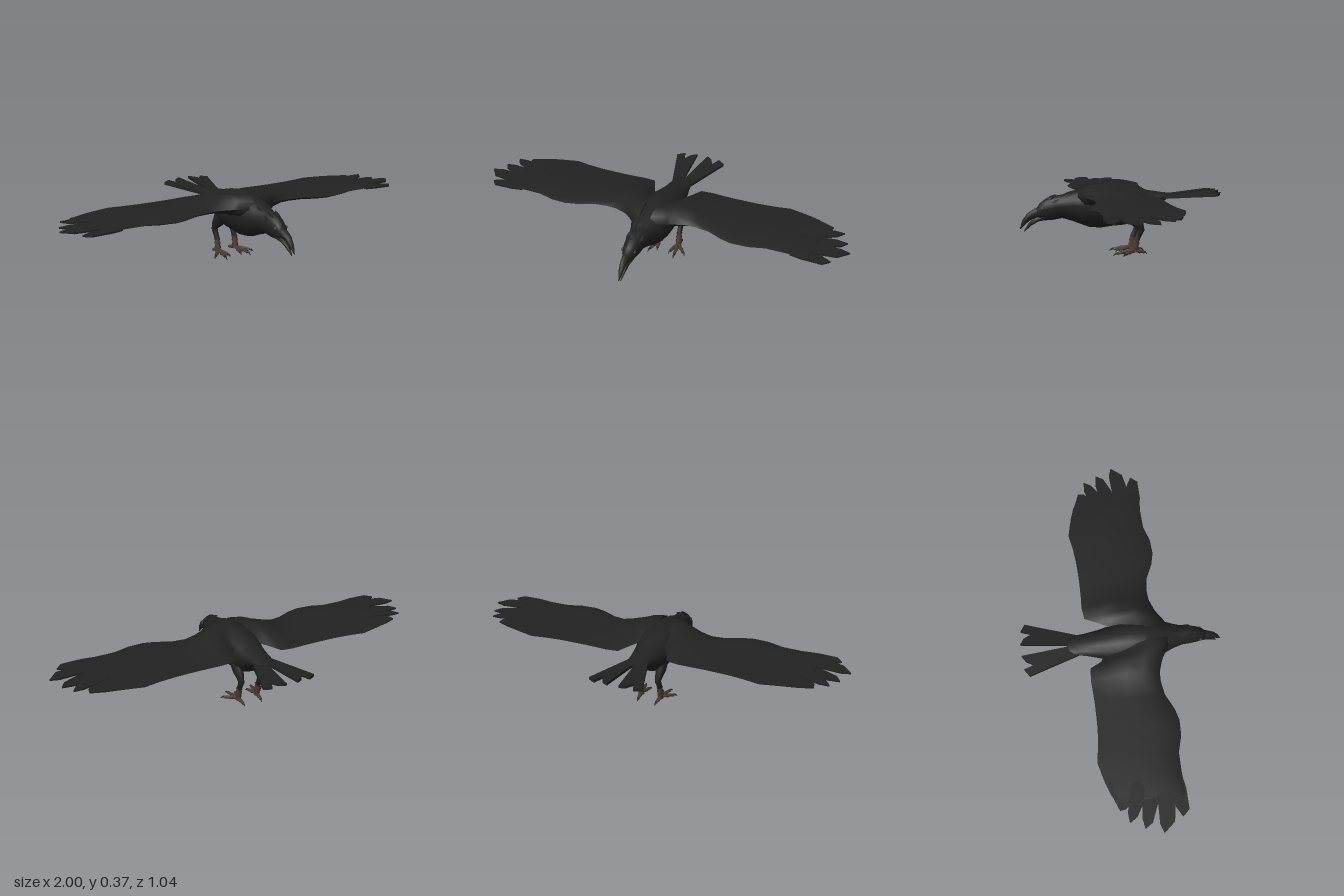
import * as THREE from 'three';
import { toCreasedNormals } from 'three/addons/utils/BufferGeometryUtils.js';

const material = (name, color) => {
  const m = new THREE.MeshStandardMaterial({ color });
  m.name = name;
  return m;
};

// Skin equal-sized closed rings of Vector3, cap both ends, and face outward
function loft(rings, crease = 1.1) {
  const n = rings[0].length, pos = [], idx = [];
  const all = rings.flat();
  for (const ring of [rings[0], rings[rings.length - 1]]) {
    const c = new THREE.Vector3();
    ring.forEach(p => c.addScaledVector(p, 1 / n));
    all.push(c);
  }
  all.forEach(p => pos.push(p.x, p.y, p.z));
  const last = (rings.length - 1) * n, c0 = rings.length * n;
  for (let j = 0; j < n; j++) {
    const k = (j + 1) % n;
    for (let i = 0; i < last; i += n) idx.push(i + j, i + k, i + n + j, i + k, i + n + k, i + n + j);
    idx.push(c0, k, j, c0 + 1, last + j, last + k);
  }
  let volume = 0;
  const cross = new THREE.Vector3();
  for (let i = 0; i < idx.length; i += 3)
    volume += all[idx[i]].dot(cross.crossVectors(all[idx[i + 1]], all[idx[i + 2]]));
  if (volume < 0) idx.reverse();
  const g = new THREE.BufferGeometry();
  g.setAttribute('position', new THREE.Float32BufferAttribute(pos, 3));
  g.setIndex(idx);
  return toCreasedNormals(g, crease);
}

// Tapered limb through points [x, y, z, halfWidth, halfHeight]; "side" is the width direction
function limb(points, side = new THREE.Vector3(1, 0, 0), sides = 8) {
  const P = points.map(p => new THREE.Vector3(p[0], p[1], p[2]));
  return loft(P.map((p, i) => {
    const t = P[Math.min(i + 1, P.length - 1)].clone().sub(P[Math.max(i - 1, 0)]).normalize();
    const w = side.clone().addScaledVector(t, -side.dot(t)).normalize();
    const h = t.clone().cross(w);
    const rw = points[i][3], rh = points[i][4] ?? rw;
    return Array.from({ length: sides }, (_, j) => {
      const a = j / sides * Math.PI * 2;
      return p.clone().addScaledVector(w, Math.cos(a) * rw).addScaledVector(h, Math.sin(a) * rh);
    });
  }));
}

// Thin plate from an [x, z] outline, mirrored by s, raised to yAt(x, z)
function plate(outline, s, thickness, yAt) {
  const shape = new THREE.Shape(outline.map(([x, z]) => new THREE.Vector2(x * s, -z)));
  const g = new THREE.ExtrudeGeometry(shape, { depth: thickness, bevelEnabled: false });
  g.rotateX(-Math.PI / 2);
  const p = g.attributes.position;
  for (let i = 0; i < p.count; i++)
    p.setY(i, p.getY(i) - thickness / 2 + yAt(Math.abs(p.getX(i)), p.getZ(i)));
  g.computeVertexNormals();
  return g;
}

export function createModel() {
  const model = new THREE.Group();
  model.name = 'bird';
  const plumage = material('black plumage', 0x222222);
  const horn = material('dark horn', 0x252423);
  const skin = material('brown leg skin', 0x493a33);
  const eyeMat = material('eye grey', 0x35373a);
  const add = (name, geometry, mat) => {
    const m = new THREE.Mesh(geometry, mat);
    m.name = name;
    model.add(m);
    return m;
  };

  // Body and head: z, top, bottom, half width
  const body = [
    [0.435, 0.243, 0.200, 0.018], [0.415, 0.273, 0.188, 0.030], [0.385, 0.296, 0.184, 0.038],
    [0.345, 0.311, 0.186, 0.045], [0.30, 0.317, 0.194, 0.050], [0.25, 0.334, 0.180, 0.066],
    [0.20, 0.350, 0.160, 0.088], [0.16, 0.362, 0.145, 0.100], [0.10, 0.372, 0.139, 0.107],
    [0.04, 0.369, 0.147, 0.105], [-0.03, 0.360, 0.152, 0.098], [-0.08, 0.347, 0.168, 0.086],
    [-0.13, 0.336, 0.198, 0.074], [-0.19, 0.326, 0.245, 0.062], [-0.25, 0.317, 0.284, 0.052],
    [-0.29, 0.310, 0.292, 0.040]];
  add('body', loft(body.map(([z, top, bottom, w]) => Array.from({ length: 16 }, (_, j) => {
    const a = j / 16 * Math.PI * 2, s = Math.sin(a);
    const mid = bottom + (top - bottom) * 0.55;
    return new THREE.Vector3(w * Math.cos(a) * (s < 0 ? 1 + 0.12 * s : 1),
      mid + s * (s > 0 ? top - mid : mid - bottom), z);
  })), 1.3), plumage);

  // Open, hooked beak
  add('upperBeak', limb([[0, 0.226, 0.40, 0.026, 0.028], [0, 0.223, 0.435, 0.022, 0.025],
    [0, 0.207, 0.467, 0.017, 0.020], [0, 0.179, 0.495, 0.011, 0.013], [0, 0.142, 0.517, 0.002]]), horn);
  add('lowerBeak', limb([[0, 0.203, 0.39, 0.024, 0.018], [0, 0.191, 0.43, 0.018, 0.014],
    [0, 0.166, 0.465, 0.012, 0.010], [0, 0.129, 0.497, 0.002]]), horn);

  // Ruffled crown and nape feathers
  for (const [x, y, z] of [[0, 0.305, 0.36], [0.02, 0.302, 0.35], [-0.02, 0.302, 0.35],
    [0.035, 0.285, 0.34], [-0.035, 0.285, 0.34], [0, 0.322, 0.275], [0.03, 0.315, 0.27], [-0.03, 0.315, 0.27]])
    add('crestFeather', limb([[x * 0.9, y - 0.008, z + 0.02, 0.004], [x, y, z, 0.010, 0.006],
      [x * 1.1, y + 0.013, z - 0.025, 0.001]], undefined, 5), plumage);

  // Wing stations: x, leading z, trailing z, top, bottom
  const stations = [
    [0.03, 0.24, -0.08, 0.368, 0.25], [0.08, 0.218, -0.07, 0.370, 0.25], [0.105, 0.20, -0.12, 0.369, 0.262],
    [0.135, 0.183, -0.183, 0.364, 0.274], [0.20, 0.160, -0.190, 0.346, 0.283], [0.25, 0.158, -0.187, 0.328, 0.285],
    [0.32, 0.168, -0.185, 0.322, 0.285], [0.40, 0.205, -0.186, 0.323, 0.285], [0.46, 0.220, -0.188, 0.322, 0.286],
    [0.54, 0.216, -0.196, 0.320, 0.289], [0.62, 0.192, -0.210, 0.319, 0.292], [0.72, 0.190, -0.186, 0.316, 0.295],
    [0.78, 0.195, -0.166, 0.314, 0.297], [0.83, 0.190, -0.140, 0.310, 0.301]];
  const section = [[0, 0.05], [0.07, 0.65], [0.25, 1], [0.5, 0.85], [0.78, 0.45], [1, 0.05],
    [0.78, -0.3], [0.5, -0.6], [0.25, -1], [0.07, -0.65]];
  const primaries = [
    [[0.74, 0.19], [0.80, 0.20], [0.90, 0.20], [0.932, 0.165], [0.88, 0.138], [0.74, 0.12]],
    [[0.74, 0.13], [0.86, 0.138], [0.95, 0.122], [0.998, 0.065], [0.95, 0.05], [0.74, 0.06]],
    [[0.74, 0.07], [0.86, 0.052], [0.94, 0.018], [0.965, -0.022], [0.91, -0.030], [0.74, 0.0]],
    [[0.74, 0.01], [0.84, -0.012], [0.905, -0.052], [0.93, -0.092], [0.88, -0.095], [0.74, -0.06]],
    [[0.74, -0.04], [0.82, -0.062], [0.86, -0.10], [0.865, -0.13], [0.80, -0.155], [0.72, -0.175]]];
  const tailHalf = [[0.0, -0.22], [0.004, -0.28], [0.03, -0.522], [0.062, -0.502], [0.083, -0.462],
    [0.102, -0.515], [0.140, -0.490], [0.128, -0.455], [0.06, -0.25], [0.05, -0.22]];

  for (const s of [1, -1]) {
    const side = s > 0 ? 'left' : 'right';
    add(side + 'Wing', loft(stations.map(([x, lead, trail, top, bottom]) => section.map(([u, f]) =>
      new THREE.Vector3(s * x, 0.305 + f * (f > 0 ? top - 0.305 : 0.305 - bottom),
        lead + (trail - lead) * u)))), plumage);
    primaries.forEach((outline, i) => add(side + 'WingFeather', plate(outline, s, 0.008,
      x => 0.306 + (i % 2 ? 0.003 : -0.003) - 0.02 * (x - 0.74)), plumage));
    add(side + 'TailFeathers', plate(tailHalf, s, 0.014,
      (x, z) => 0.302 + (-0.25 - z) * 0.085 - x * 0.06), plumage);

    // Eye
    const eye = add(side + 'Eye', new THREE.SphereGeometry(0.010, 12, 8), eyeMat);
    eye.scale.x = 0.6;
    eye.position.set(s * 0.033, 0.247, 0.402);

    // Feathered leg, then scaly shank with ridges
    const lx = s * 0.055;
    add(side + 'Thigh', limb([[s * 0.05, 0.225, -0.04, 0.030, 0.050], [lx, 0.185, -0.07, 0.026, 0.036],
      [lx, 0.155, -0.098, 0.019, 0.024], [lx, 0.130, -0.107, 0.015, 0.018],
      [lx, 0.100, -0.092, 0.013, 0.015], [lx, 0.075, -0.080, 0.013, 0.015]], undefined, 10), plumage);
    const shank = [];
    for (let i = 0; i <= 6; i++) {
      const r = i % 2 ? 0.014 : 0.019;
      shank.push([lx, 0.084 - i * 0.0115, -0.084 + i * 0.002, r * 0.9, r]);
    }
    add(side + 'Shank', limb(shank), skin);

    // Three front toes and one hind toe, each ending in a claw
    for (const [tx, tz] of [[0.075, 0.045], [0.033, 0.015], [0.122, 0.0], [0.05, -0.14]]) {
      const at = (u, y, w, h) => [s * (0.055 + (tx - 0.055) * u), y, -0.07 + (tz + 0.07) * u, w, h];
      const across = new THREE.Vector3(tz + 0.07, 0, -s * (tx - 0.055)).normalize();
      add(side + 'Toe', limb([at(0, 0.021, 0.012, 0.011), at(0.25, 0.020, 0.009, 0.009),
        at(0.42, 0.016, 0.011, 0.010), at(0.58, 0.016, 0.008, 0.008), at(0.76, 0.012, 0.008, 0.008)], across, 7), skin);
      add(side + 'Claw', limb([at(0.70, 0.014, 0.006, 0.006), at(0.86, 0.012, 0.005, 0.005),
        at(1, 0.002, 0.001, 0.001)], across, 6), horn);
    }
  }
  return model;
}
